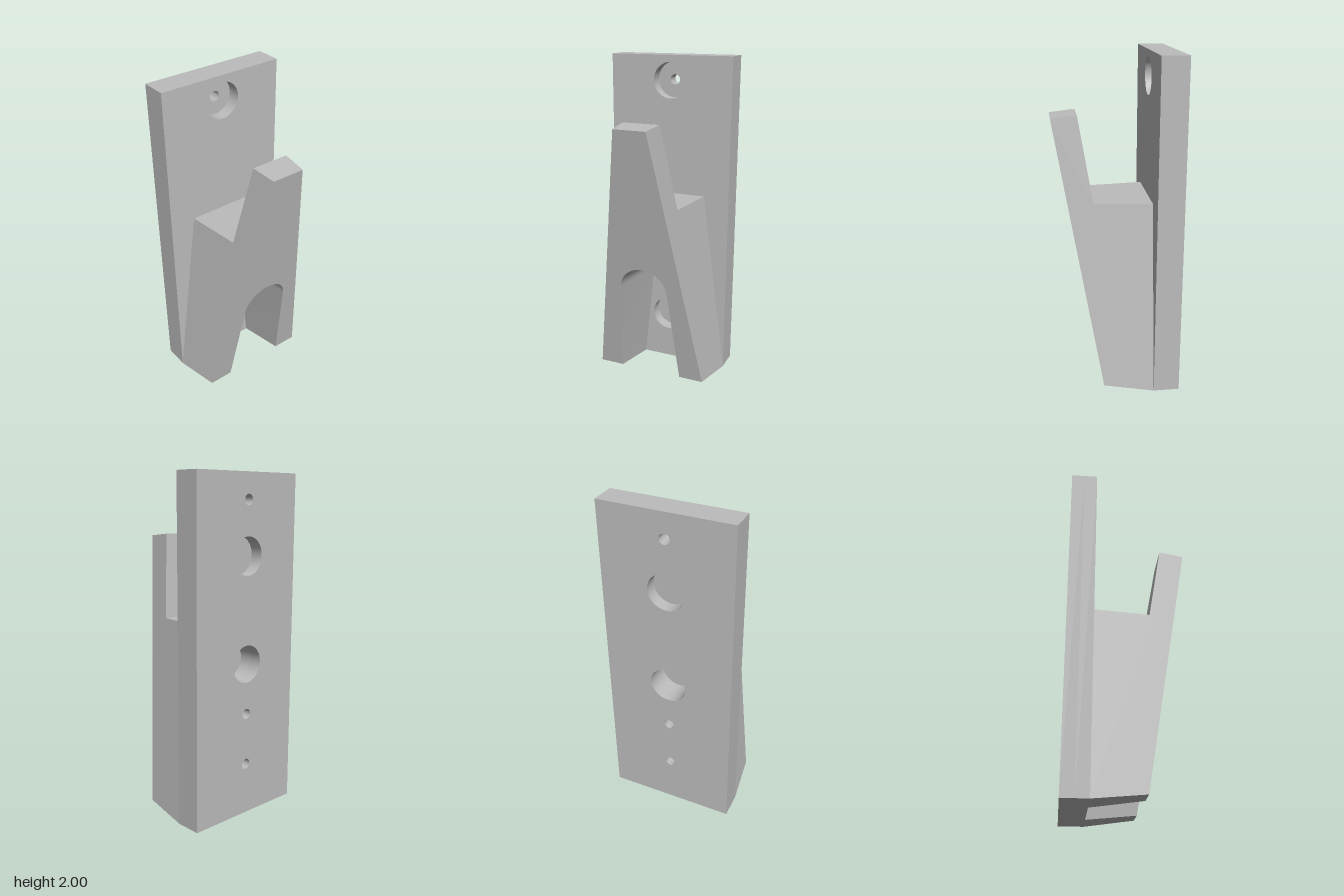
import * as THREE from 'three';
import { mergeGeometries, toCreasedNormals } from 'three/addons/utils/BufferGeometryUtils.js';

const BACK = -0.365, MID = -0.287, FACE = -0.21; // plate depths
const DRAFT = 0.11; // taper of the hook walls per unit of depth
const ARCH_Y = 0.62, ARCH_R = 0.109, ARCH_FOOT = 0.17;

// One layer of the plate, with round holes given as [y, radius]
function plateLayer(z0, z1, holes) {
  const shape = new THREE.Shape([[-0.39, 0], [0.39, 0], [0.39, 2], [-0.39, 2]].map(p => new THREE.Vector2(...p)));
  for (const [y, r] of holes) shape.holes.push(new THREE.Path().absarc(0, y, r, 0, Math.PI * 2, true));
  const g = new THREE.ExtrudeGeometry(shape, { depth: z1 - z0, bevelEnabled: false, curveSegments: 24 });
  return toCreasedNormals(g.translate(0, 0, z0), 0.6);
}

// Flat polygon through 3D points, triangulated on two axes, facing "out"
function face(points, axes, out) {
  const pts = points.map(p => new THREE.Vector3(...p));
  const flat = pts.map(p => new THREE.Vector2(p[axes[0]], p[axes[1]]));
  const dir = new THREE.Vector3(...out), pos = [];
  for (const [a, b, c] of THREE.ShapeUtils.triangulateShape(flat, [])) {
    const n = new THREE.Triangle(pts[a], pts[b], pts[c]).getNormal(new THREE.Vector3());
    for (const i of n.dot(dir) < 0 ? [a, c, b] : [a, b, c]) pos.push(...pts[i].toArray());
  }
  return new THREE.BufferGeometry().setAttribute('position', new THREE.Float32BufferAttribute(pos, 3));
}

// Surface rules for the hook
const sideX = (y, z) => 0.39 - 0.139 * y - DRAFT * (z - FACE);
const frontZ = y => 0.084 + 0.172 * y;

// Arch opening, as matching outlines on the plate and on the sloped front
function archOutlines() {
  const back = [[ARCH_FOOT, 0, FACE]], front = [[0.199, 0.035, frontZ(0.035)]], N = 28;
  for (let i = 0; i <= N; i++) {
    const a = 0.1 + (Math.PI - 0.2) * i / N, c = Math.cos(a), s = Math.sin(a);
    back.push([ARCH_R * c, ARCH_Y + ARCH_R * s, FACE]);
    const y = (ARCH_Y + (ARCH_R + DRAFT * 0.294) * s) / (1 - DRAFT * 0.172 * s);
    const z = frontZ(y);
    front.push([(ARCH_R + DRAFT * (z - FACE)) * c, y, z]);
  }
  back.push([-ARCH_FOOT, 0, FACE]);
  front.push([-0.199, 0.035, frontZ(0.035)]);
  return { back, front };
}

function hookGeometry() {
  const { back, front } = archOutlines();
  // side profile as [z, y]
  const profile = [[FACE, 0], [frontZ(0.035), 0.035], [frontZ(1.635), 1.635], [0.213, 1.65], [0.131, 1.15], [FACE, 1.15]];
  const left = profile.map(([z, y]) => [sideX(y, z), y, z]);
  const right = left.map(([x, y, z]) => [-x, y, z]);
  const across = (i, j) => [left[i], left[j], right[j], right[i]];
  const parts = [
    face(left, ['z', 'y'], [1, 0, 0]),
    face(right, ['z', 'y'], [-1, 0, 0]),
    face([right[1], right[2], left[2], left[1], ...front], ['x', 'y'], [0, 0, 1]),
    face([right[0], right[5], left[5], left[0], ...back], ['x', 'y'], [0, 0, -1]),
    face(across(2, 3), ['x', 'z'], [0, 1, 0]), // tip
    face(across(3, 4), ['x', 'y'], [0, 0, -1]), // back of tongue
    face(across(4, 5), ['x', 'z'], [0, 1, 0]), // shelf
  ];
  // undersides of the legs
  const e = back.length - 1;
  parts.push(face([left[0], left[1], front[0], back[0]], ['x', 'z'], [0, -1, 0]));
  parts.push(face([right[0], right[1], front[e], back[e]], ['x', 'z'], [0, -1, 0]));
  // arch wall
  for (let i = 0; i < e; i++) {
    const [p, q] = [back[i], back[i + 1]];
    const out = [p[1] - q[1], q[0] - p[0], 0];
    const [f, g] = [front[i], front[i + 1]];
    parts.push(face([p, q, g], Math.abs(out[0]) > Math.abs(out[1]) ? ['z', 'y'] : ['x', 'z'], out));
    parts.push(face([p, g, f], Math.abs(out[0]) > Math.abs(out[1]) ? ['z', 'y'] : ['x', 'z'], out));
  }
  return toCreasedNormals(mergeGeometries(parts), 0.5);
}

export function createModel() {
  const group = new THREE.Group();
  const grey = new THREE.MeshStandardMaterial({ color: 0xbcbcbc });
  grey.name = 'grey plastic';
  const add = (name, geometry) => {
    const mesh = new THREE.Mesh(geometry, grey);
    mesh.name = name;
    group.add(mesh);
  };

  const screws = [1.85, 0.62, 0.31];
  // rear layer: screw holes and two round pockets
  add('plateRear', plateLayer(BACK, MID, [...screws.map(y => [y, 0.031]), [1.54, 0.11], [0.92, 0.11]]));
  // front layer: counterbores, and the deeper lower pocket closed by the hook
  add('plateFront', plateLayer(MID, FACE, [...screws.map(y => [y, 0.109]), [0.92, 0.11]]));
  add('hook', hookGeometry());
  return group;
}
